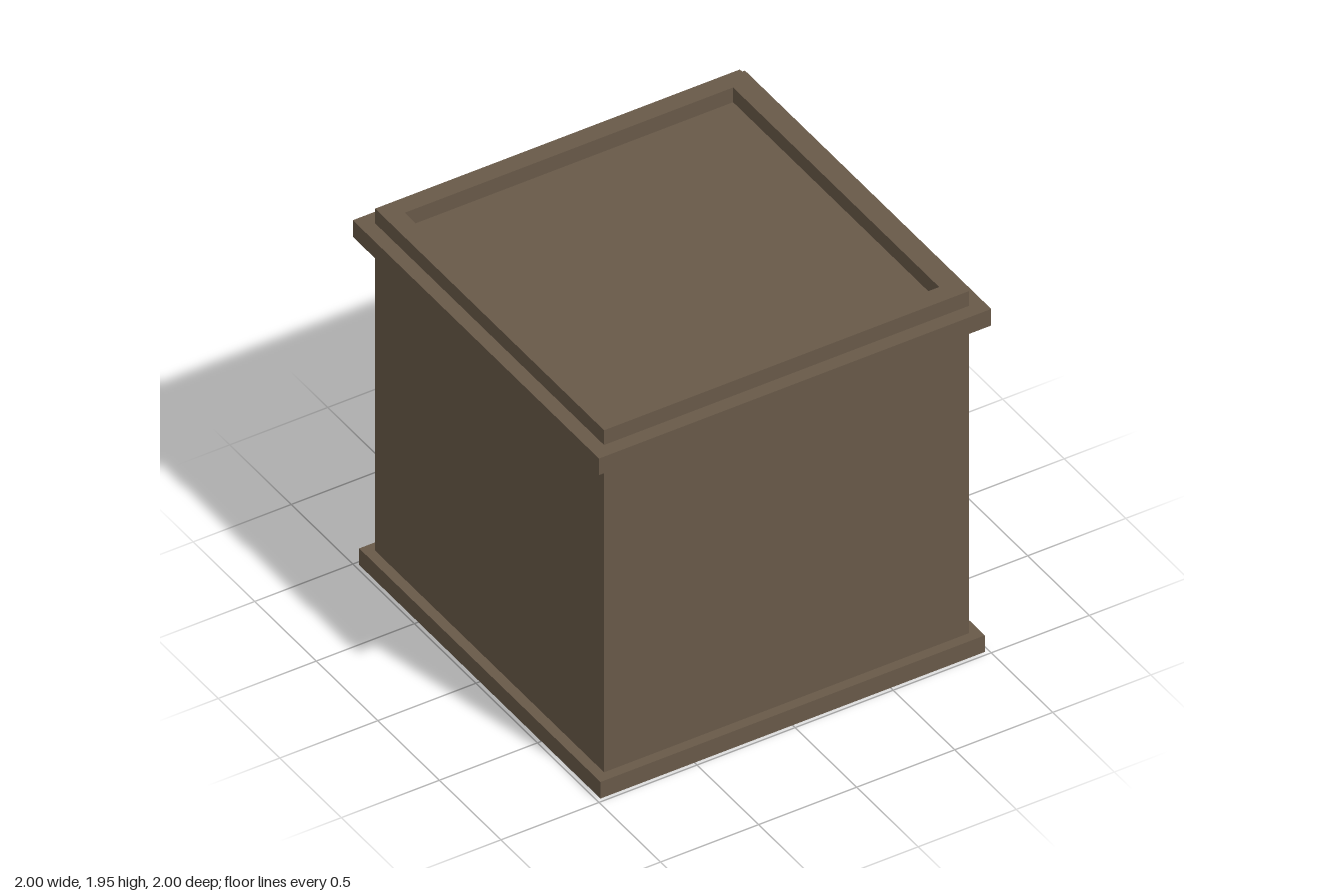
import * as THREE from 'three';

const material = (color) => new THREE.MeshStandardMaterial({ color });
const BROWN = material(0x685948);
const BLACK = material(0x0c0c0c);
const GLASS = material(0xb2b2b2);
const CREAM = material(0xc6c8b0);
const DOOR = material(0x555555);

const WALL = 0.93; // half width of the walls
const FRAME_DEPTH = 0.06;
const PANE_DEPTH = 0.027;

function rectangle(x0, y0, x1, y1, Type = THREE.Shape) {
  return new Type([
    new THREE.Vector2(x0, y0), new THREE.Vector2(x1, y0),
    new THREE.Vector2(x1, y1), new THREE.Vector2(x0, y1),
  ]);
}

function addMesh(parent, name, geometry, mat) {
  const mesh = new THREE.Mesh(geometry, mat);
  mesh.name = name;
  parent.add(mesh);
  return mesh;
}

// Solid square slab between two heights
function slab(parent, name, half, y0, y1) {
  const geometry = new THREE.BoxGeometry(half * 2, y1 - y0, half * 2);
  addMesh(parent, name, geometry, BROWN).position.y = (y0 + y1) / 2;
}

// Square ring between two heights
function ring(parent, name, outer, inner, y0, y1) {
  const shape = rectangle(-outer, -outer, outer, outer);
  shape.holes.push(rectangle(-inner, -inner, inner, inner, THREE.Path));
  const geometry = new THREE.ExtrudeGeometry(shape, { depth: y1 - y0, bevelEnabled: false });
  geometry.rotateX(-Math.PI / 2);
  addMesh(parent, name, geometry, BROWN).position.y = y0;
}

// Shape drawn along the facade (u = -z, y up), extruded outwards along +x
function facadePart(parent, name, shape, depth, mat) {
  const geometry = new THREE.ExtrudeGeometry(shape, { depth, bevelEnabled: false });
  geometry.rotateY(Math.PI / 2);
  addMesh(parent, name, geometry, mat).position.x = WALL;
}

// Two-pane window with a crossbar
function addWindow(parent, name, u) {
  const group = new THREE.Group();
  group.name = name;
  const shape = rectangle(u - 0.188, 1.035, u + 0.188, 1.567);
  for (const [y0, y1] of [[1.093, 1.288], [1.348, 1.507]]) {
    shape.holes.push(rectangle(u - 0.128, y0, u + 0.128, y1, THREE.Path));
    facadePart(group, 'windowPane', rectangle(u - 0.128, y0, u + 0.128, y1), PANE_DEPTH, GLASS);
  }
  facadePart(group, 'windowFrame', shape, FRAME_DEPTH, BLACK);
  parent.add(group);
}

// Opening framed on the sides and top only, standing on the plinth
function addOpening(parent, name, u0, u1, bottom, top, paneMaterial) {
  const group = new THREE.Group();
  group.name = name;
  const t = 0.06;
  const outline = [
    [u0, bottom], [u0 + t, bottom], [u0 + t, top - t], [u1 - t, top - t],
    [u1 - t, bottom], [u1, bottom], [u1, top], [u0, top],
  ].map(([u, y]) => new THREE.Vector2(u, y));
  facadePart(group, name + 'Frame', new THREE.Shape(outline), FRAME_DEPTH, BLACK);
  facadePart(group, name + 'Panel', rectangle(u0 + t, 0.09, u1 - t, top - t), PANE_DEPTH, paneMaterial);
  parent.add(group);
}

export function createModel() {
  const model = new THREE.Group();
  model.name = 'shopBuilding';

  // Walls, plinth and flat roof with its raised edge
  slab(model, 'plinth', 0.98, 0, 0.09);
  slab(model, 'walls', WALL, 0.09, 1.87);
  ring(model, 'cornice', 1, WALL, 1.78, 1.87);
  ring(model, 'parapet', WALL, 0.837, 1.87, 1.95);

  // Street facade on the left side
  addWindow(model, 'upperWindowFront', -0.428);
  addWindow(model, 'upperWindowBack', 0.38);
  addOpening(model, 'door', -0.77, -0.378, 0.09, 0.705, DOOR);
  addOpening(model, 'shopWindow', -0.17, 0.872, 0.1, 0.81, CREAM);

  return model;
}
